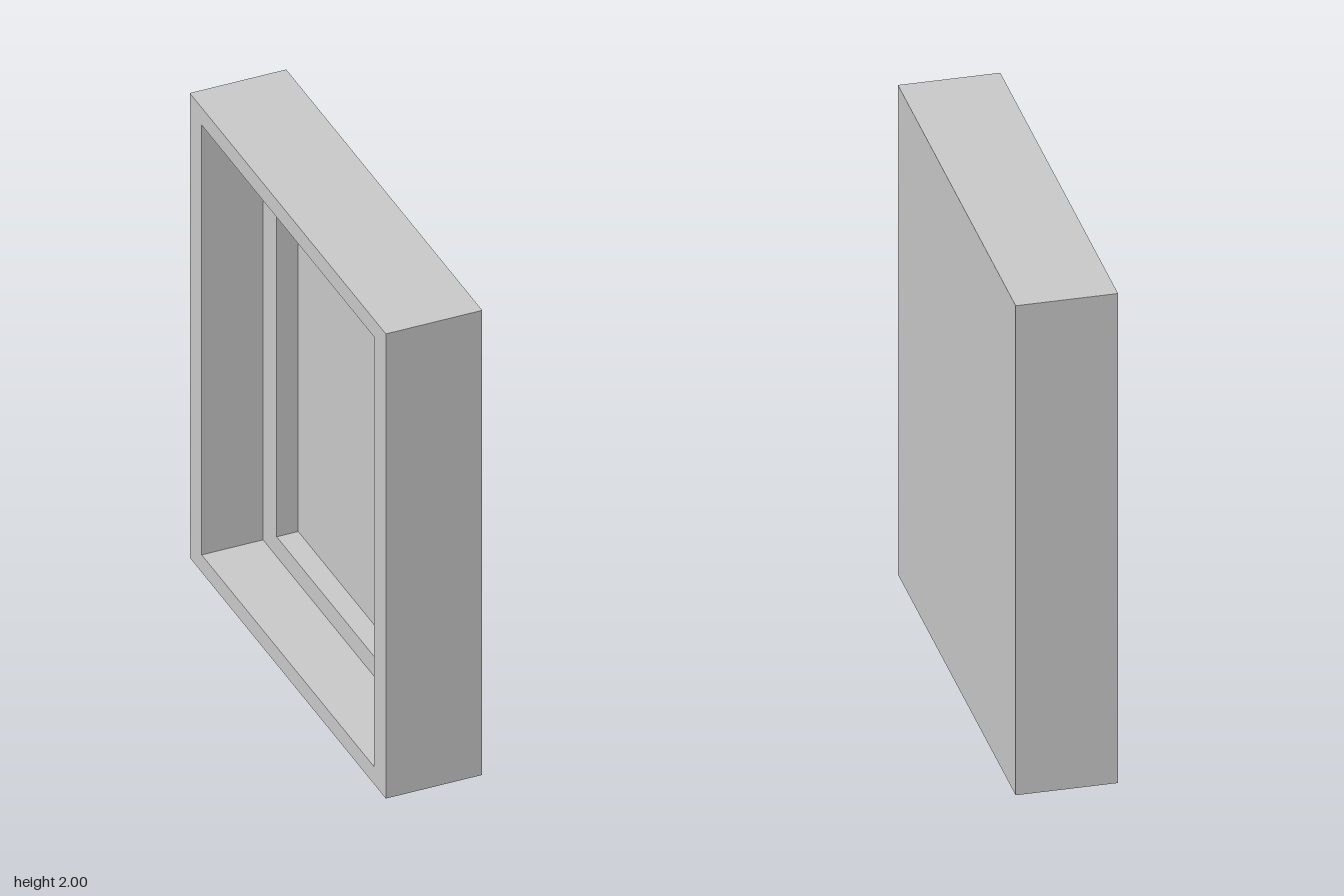
import * as THREE from 'three';

// Flat-shaded skin through a chain of rectangles: [x, half depth (z), half height (y)]
function loftRectangles(sections, centreY) {
  const signs = [[-1, -1], [1, -1], [1, 1], [-1, 1]];
  const corner = ([x, hz, hy], j) => {
    const [sz, sy] = signs[j % 4];
    return [x, centreY + sy * hy, sz * hz];
  };
  const positions = [];
  for (let i = 0; i < sections.length - 1; i++) {
    const s = sections[i], t = sections[i + 1];
    for (let j = 0; j < 4; j++) {
      const a = corner(s, j), b = corner(s, j + 1), c = corner(t, j + 1), d = corner(t, j);
      // a zero-size rectangle is a cap centre, where one triangle vanishes
      if (s[1] > 0) positions.push(...a, ...b, ...c);
      if (t[1] > 0) positions.push(...a, ...c, ...d);
    }
  }
  const geometry = new THREE.BufferGeometry();
  geometry.setAttribute('position', new THREE.Float32BufferAttribute(positions, 3));
  geometry.computeVertexNormals();
  return geometry;
}

export function createModel() {
  const group = new THREE.Group();
  group.name = 'steppedFramePanel';

  // Closed slab on +x with a two-step recess opening toward -x
  const sections = [
    [0.19, 0, 0],           // centre of closed face
    [0.19, 0.865, 1],       // closed face edge
    [-0.19, 0.865, 1],      // outer wall to rim
    [-0.19, 0.76, 0.925],   // rim
    [0.052, 0.76, 0.925],   // upper recess wall
    [0.052, 0.64, 0.84],    // ledge
    [0.137, 0.64, 0.84],    // lower recess wall
    [0.137, 0, 0],          // centre of recess floor
  ];
  const shell = new THREE.Mesh(
    loftRectangles(sections, 1),
    new THREE.MeshStandardMaterial({ color: 0xcccccc, flatShading: true })
  );
  shell.name = 'recessedFrameShell';
  group.add(shell);
  return group;
}
